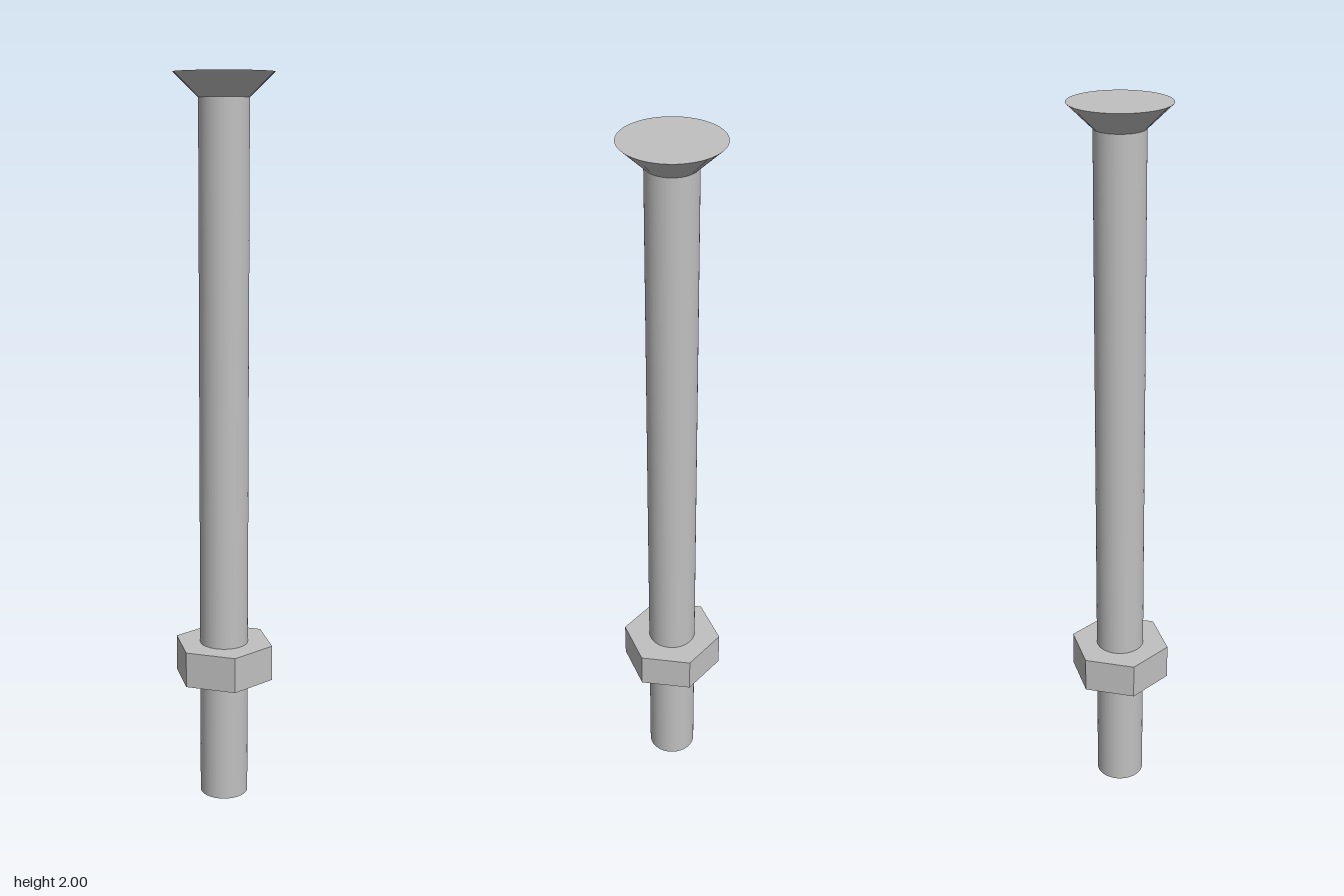
import * as THREE from 'three';

export function createModel() {
  const model = new THREE.Group();
  model.name = 'countersunkBolt';

  const steel = new THREE.MeshStandardMaterial({ color: 0xc0c0c0 });
  steel.name = 'steel grey';
  // Faceted copy of the same colour for the nut
  const facetedSteel = steel;

  const shaftRadius = 0.067, headRadius = 0.133, headBase = 1.936, top = 2;

  function addPart(name, geometry, material, y) {
    const mesh = new THREE.Mesh(geometry, material);
    mesh.name = name;
    mesh.position.y = y;
    model.add(mesh);
  }

  // Round shaft, running up to the underside of the head
  addPart('shaft', new THREE.CylinderGeometry(shaftRadius, shaftRadius, headBase, 64), steel, headBase / 2);

  // Flat-topped conical head
  addPart('head', new THREE.CylinderGeometry(headRadius, shaftRadius, top - headBase, 64), steel, (top + headBase) / 2);

  // Hexagonal nut with corners on the x axis and hard edges
  const nut = new THREE.CylinderGeometry(0.141, 0.141, 0.1, 6).rotateY(Math.PI / 2).toNonIndexed();
  nut.computeVertexNormals();
  addPart('nut', nut, facetedSteel, 0.4);

  return model;
}
